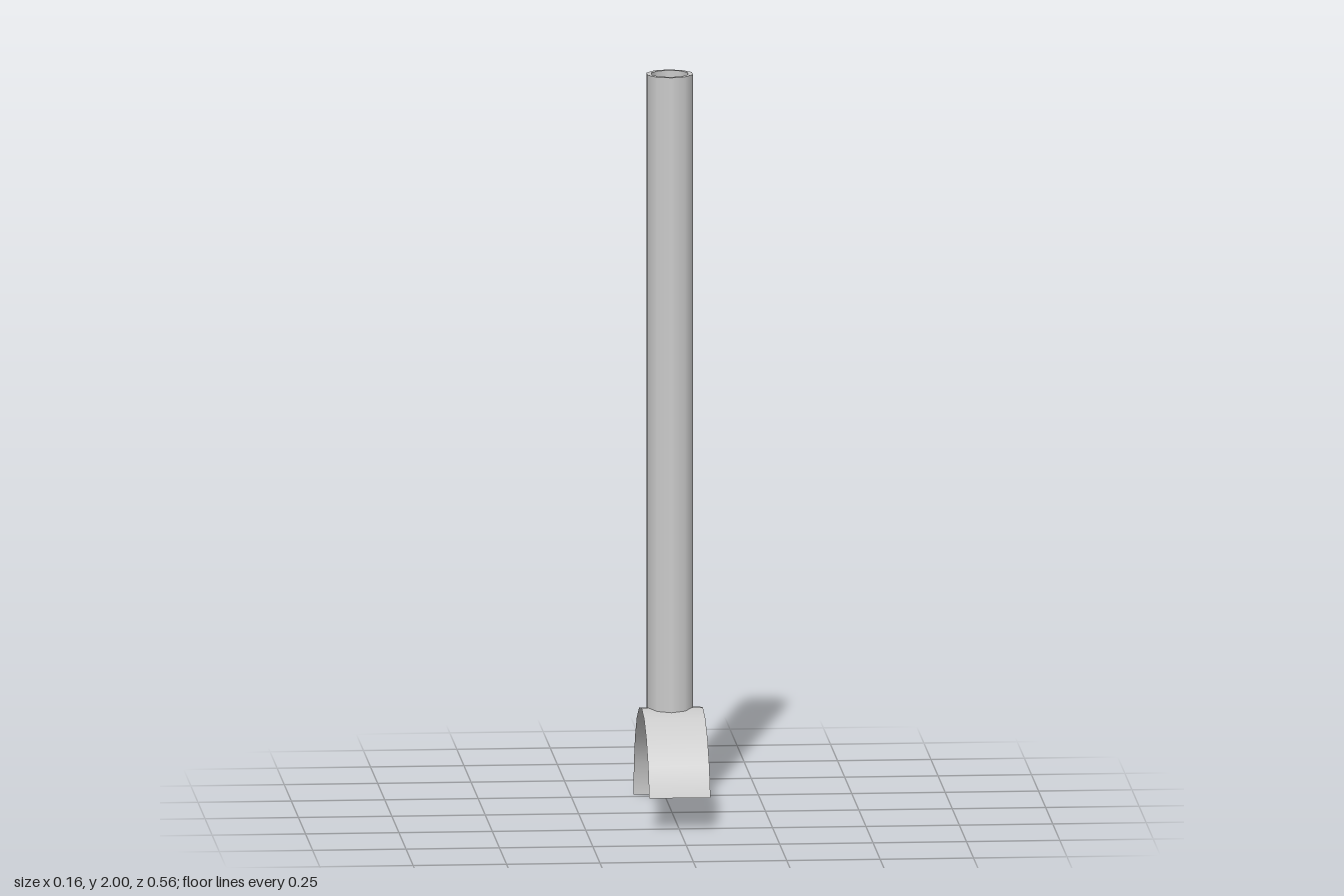
import * as THREE from 'three';

const material = new THREE.MeshStandardMaterial({ color: 0xcccccc, side: THREE.DoubleSide });

// Tube: ten-sided, slightly off centre
const SIDES = 10, OUTER = 0.064, INNER = 0.051, TUBE_X = -0.005, TUBE_Z = -0.018;
// Saddle: part of a twenty-sided arch
const ARCH_R = 0.285, ARCH_Z = 0.005, HALF_WIDTH = 0.082, STEP = Math.PI / 10;

function piecewise(points, z) {
  for (let i = 0; i < points.length - 1; i++) {
    const [a, b] = [points[i], points[i + 1]];
    if (z >= a[0] - 1e-6 && z <= b[0] + 1e-6) {
      return a[1] + (b[1] - a[1]) * (z - a[0]) / (b[0] - a[0]);
    }
  }
  return 0;
}

// Underside of the tube follows a smaller arch
const tubeBottom = z => Math.sqrt(0.255 ** 2 - (z - 0.03) ** 2);

// One turned face of the tube; points at height 0 drop onto the curved underside
function turnedFace(name, from, to) {
  const geometry = new THREE.LatheGeometry([new THREE.Vector2(...from), new THREE.Vector2(...to)], SIDES);
  geometry.translate(TUBE_X, 0, TUBE_Z);
  const p = geometry.attributes.position;
  for (let i = 0; i < p.count; i++) {
    if (p.getY(i) < 0.1) p.setY(i, tubeBottom(p.getZ(i)));
  }
  const mesh = new THREE.Mesh(geometry, material);
  mesh.name = name;
  return mesh;
}

// Thin arched strip, opened where the tube passes through
function saddleGeometry() {
  const arch = [], hole = [];
  for (let i = 10; i >= 1; i--) {
    arch.push([ARCH_Z + ARCH_R * Math.cos(i * STEP), ARCH_R * Math.sin(i * STEP)]);
  }
  for (let k = SIDES / 2; k >= 0; k--) {
    const a = k * 2 * Math.PI / SIDES;
    hole.push([TUBE_Z + OUTER * Math.cos(a), OUTER * Math.sin(a)]);
  }
  const rows = [...arch, ...hole].map(p => p[0]).sort((a, b) => a - b);
  const position = [], normal = [], index = [];

  const addQuad = (z0, z1, l0, r0, l1, r1) => {
    const n = position.length / 3;
    for (const [x, z] of [[l0, z0], [r0, z0], [l1, z1], [r1, z1]]) {
      const y = piecewise(arch, z);
      const length = Math.hypot(y, z - ARCH_Z);
      position.push(x, y, z);
      normal.push(0, y / length, (z - ARCH_Z) / length);
    }
    index.push(n, n + 2, n + 1, n + 1, n + 2, n + 3);
  };

  for (let i = 0; i < rows.length - 1; i++) {
    const [z0, z1] = [rows[i], rows[i + 1]];
    const w0 = piecewise(hole, z0), w1 = piecewise(hole, z1);
    if (w0 > 1e-4 || w1 > 1e-4) {
      addQuad(z0, z1, -HALF_WIDTH, TUBE_X - w0, -HALF_WIDTH, TUBE_X - w1);
      addQuad(z0, z1, TUBE_X + w0, HALF_WIDTH, TUBE_X + w1, HALF_WIDTH);
    } else {
      addQuad(z0, z1, -HALF_WIDTH, HALF_WIDTH, -HALF_WIDTH, HALF_WIDTH);
    }
  }
  const geometry = new THREE.BufferGeometry();
  geometry.setAttribute('position', new THREE.Float32BufferAttribute(position, 3));
  geometry.setAttribute('normal', new THREE.Float32BufferAttribute(normal, 3));
  geometry.setIndex(index);
  return geometry;
}

export function createModel() {
  const model = new THREE.Group();
  model.name = 'tubeOnSaddle';

  const tube = new THREE.Group();
  tube.name = 'tube';
  tube.add(
    turnedFace('outerWall', [OUTER, 0], [OUTER, 2]),
    turnedFace('topRim', [OUTER, 2], [INNER, 2]),
    turnedFace('innerWall', [INNER, 2], [INNER, 0]),
    turnedFace('bottomRim', [INNER, 0], [OUTER, 0]),
    turnedFace('floor', [INNER, 0], [0, 0]),
  );

  const saddle = new THREE.Mesh(saddleGeometry(), material);
  saddle.name = 'saddle';

  model.add(tube, saddle);
  return model;
}
